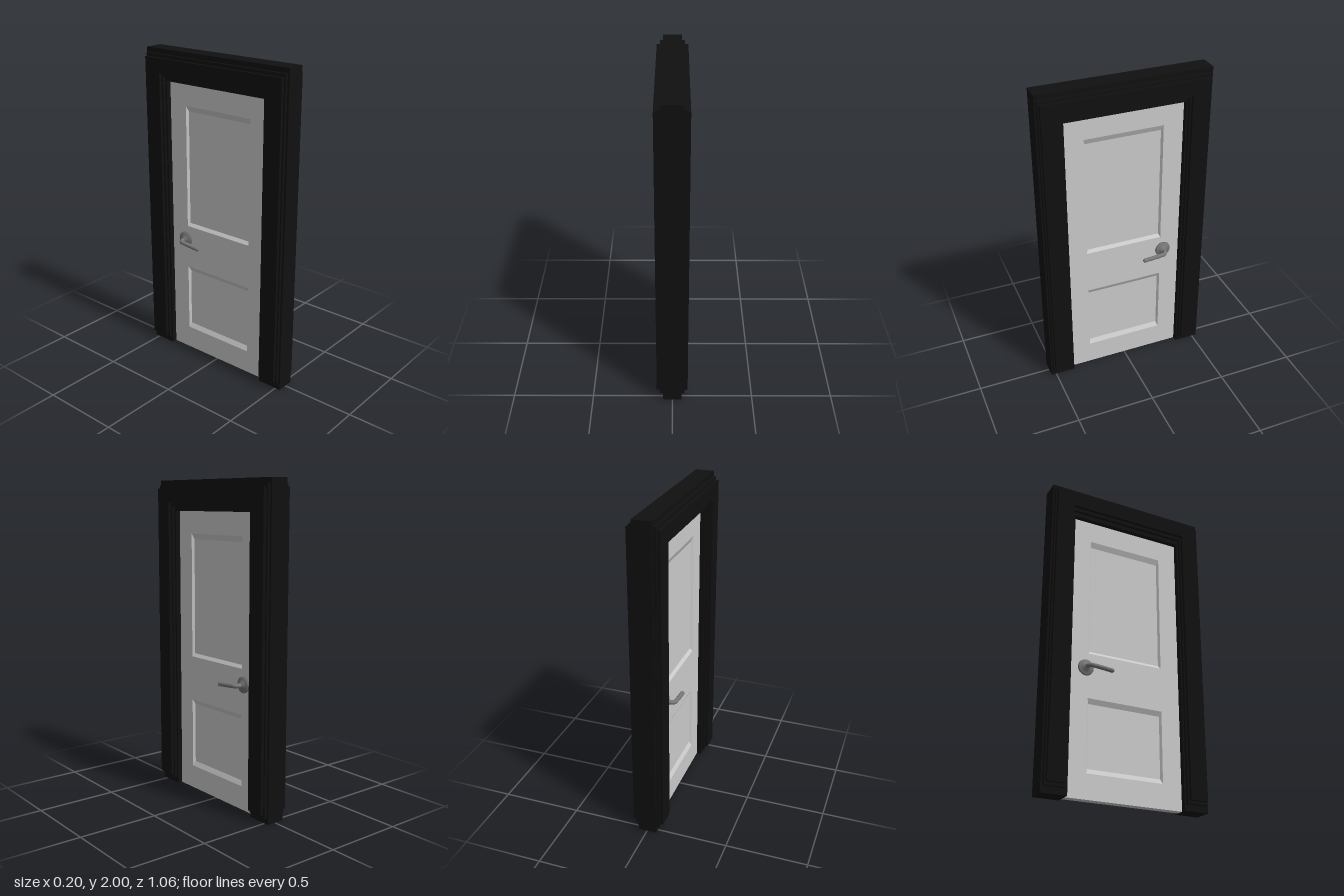
import * as THREE from 'three';

const black = new THREE.MeshStandardMaterial({ color: 0x101010 });
const grey = new THREE.MeshStandardMaterial({ color: 0xcccccc });
const metal = new THREE.MeshStandardMaterial({ color: 0x777777 });

const HALF = 0.025;    // half thickness of the door leaf
const RECESS = 0.015;  // depth of the sunken panels
const PANELS = [
  { y0: 0.885, y1: 1.67, low: 0.02, high: 0.035 },
  { y0: 0.15, y1: 0.60, low: 0.03, high: 0.03 },
];
const PANEL_Z = 0.248;

function add(parent, name, geometry, material) {
  const mesh = new THREE.Mesh(geometry, material);
  mesh.name = name;
  parent.add(mesh);
  return mesh;
}

// Extrudes a (z, y) outline symmetrically along x
function slab(shape, thickness) {
  return new THREE.ExtrudeGeometry(shape, { depth: thickness, bevelEnabled: false })
    .translate(0, 0, -thickness / 2)
    .rotateY(-Math.PI / 2);
}

// Upside-down U outline for one layer of the frame
function archShape(outer, inner, bottom, innerTop, top) {
  return new THREE.Shape([
    [-outer, bottom], [-inner, bottom], [-inner, innerTop], [inner, innerTop],
    [inner, bottom], [outer, bottom], [outer, top], [-outer, top],
  ].map(([z, y]) => new THREE.Vector2(z, y)));
}

// Rectangle corners, counter-clockwise in (z, y)
const rect = (z, y0, y1) => [[-z, y0], [z, y0], [z, y1], [-z, y1]];

// Sunken panel: four sloped sides and a flat floor
function trayGeometry({ y0, y1, low, high }, side) {
  const outer = rect(PANEL_Z, y0, y1).map(([z, y]) => [side * HALF, y, z]);
  const inner = rect(PANEL_Z - 0.01, y0 + low, y1 - high)
    .map(([z, y]) => [side * (HALF - RECESS), y, z]);
  const positions = [];
  const quad = (a, b, c, d) => {
    const order = side > 0 ? [a, c, b, a, d, c] : [a, b, c, a, c, d];
    order.forEach((p) => positions.push(...p));
  };
  for (let i = 0; i < 4; i++) {
    const j = (i + 1) % 4;
    quad(outer[i], outer[j], inner[j], inner[i]);
  }
  quad(...inner);
  const geometry = new THREE.BufferGeometry();
  geometry.setAttribute('position', new THREE.Float32BufferAttribute(positions, 3));
  geometry.computeVertexNormals();
  return geometry;
}

// Round plate, bent lever and rounded tip on one face of the door
function createHandle(side, reach) {
  const handle = new THREE.Group();
  handle.name = side > 0 ? 'leftHandle' : 'rightHandle';
  const y = 0.79, z = -0.265;

  const profile = [[0, 0], [0.05, 0], [0.05, 0.007], [0.044, 0.012], [0.022, 0.015], [0.016, 0.03], [0, 0.03]]
    .map(([r, h]) => new THREE.Vector2(r, h));
  const plate = add(handle, 'handlePlate', new THREE.LatheGeometry(profile, 32), metal);
  plate.rotation.z = -side * Math.PI / 2;
  plate.position.set(side * HALF, y, z);

  const path = new THREE.CatmullRomCurve3([
    [0.04, y, z], [reach - 0.022, y, z], [reach - 0.004, y - 0.001, z + 0.012],
    [reach, y - 0.003, z + 0.04], [reach, y - 0.012, -0.118],
  ].map(([px, py, pz]) => new THREE.Vector3(side * px, py, pz)));
  add(handle, 'lever', new THREE.TubeGeometry(path, 32, 0.0135, 12), metal);
  const tip = add(handle, 'leverTip', new THREE.SphereGeometry(0.0135, 12, 8), metal);
  tip.position.copy(path.getPoint(1));
  return handle;
}

export function createModel() {
  const model = new THREE.Group();
  model.name = 'door';

  // Frame in three stepped layers: wide core, thin step, raised casing
  const frame = new THREE.Group();
  frame.name = 'frame';
  add(frame, 'frameCore', slab(archShape(0.532, 0.373, 0, 1.81, 2), 0.115), black);
  add(frame, 'frameStep', slab(archShape(0.52, 0.385, 0.04, 1.838, 1.97), 0.153), black);
  add(frame, 'frameCasing', slab(archShape(0.51, 0.396, 0.06, 1.86, 1.95), 0.194), black);
  model.add(frame);

  // Door leaf with openings for the panels
  const leaf = new THREE.Shape(rect(0.38, 0, 1.815).map(([z, y]) => new THREE.Vector2(z, y)));
  for (const { y0, y1 } of PANELS) {
    leaf.holes.push(new THREE.Path(rect(PANEL_Z, y0, y1).map(([z, y]) => new THREE.Vector2(z, y))));
  }
  add(model, 'doorLeaf', slab(leaf, HALF * 2), grey);

  // Panels and handles on both faces
  for (const side of [1, -1]) {
    PANELS.forEach((panel, i) => {
      add(model, i === 0 ? 'upperPanel' : 'lowerPanel', trayGeometry(panel, side), grey);
    });
    model.add(createHandle(side, side > 0 ? 0.0885 : 0.083));
  }

  model.position.x = -0.002;
  return model;
}
